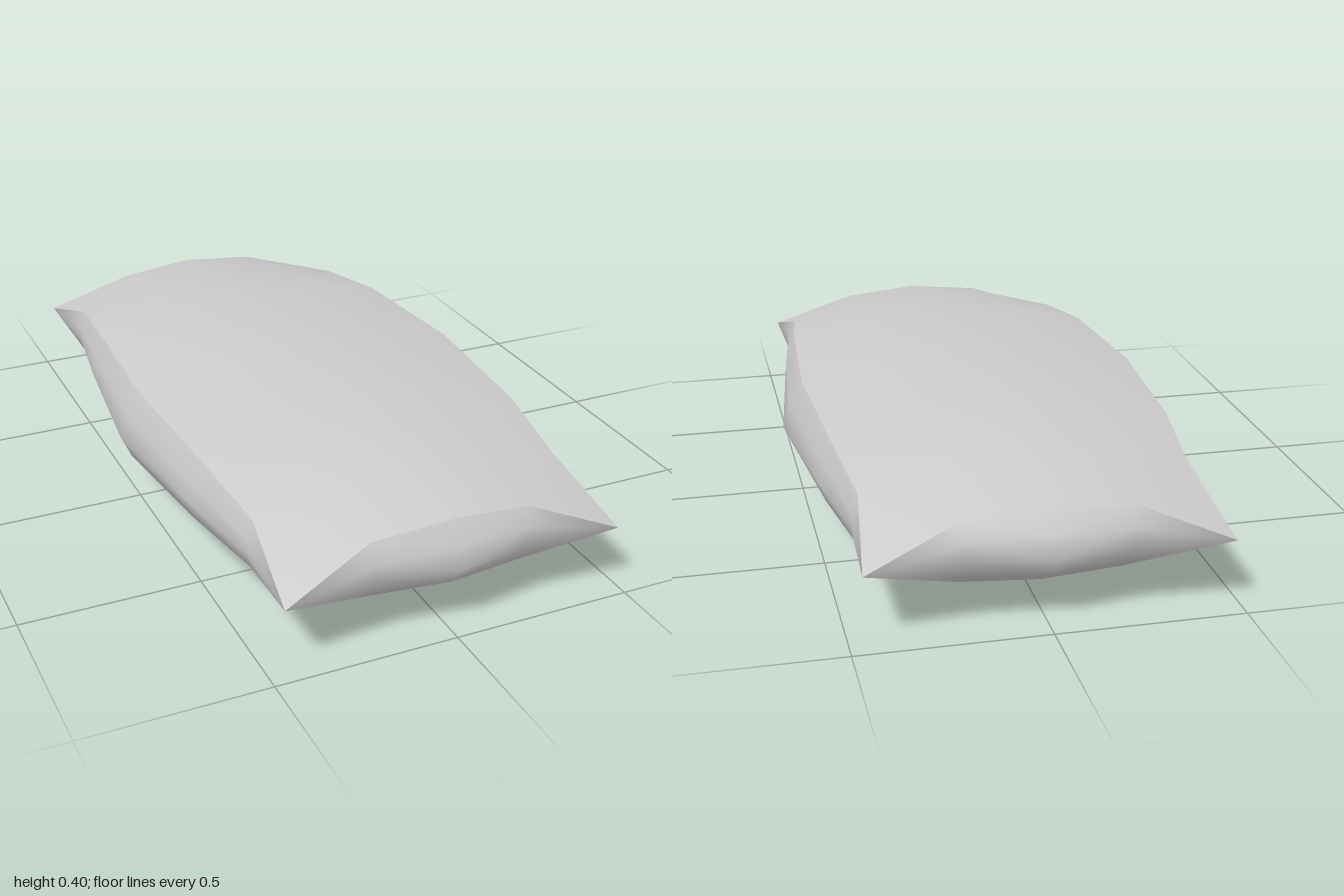
import * as THREE from 'three';
import { mergeVertices } from 'three/addons/utils/BufferGeometryUtils.js';

const material = new THREE.MeshStandardMaterial({ color: 0xcccccc });
const CORNER = [0.467, 0.2, 0.987];

// One quarter of each panel: rows run from the centre seam out to the side, columns from the middle to the end.
const TOP = [
  [[0, 0.395, 0], [0, 0.385, 0.45], [0, 0.35, 0.75], [0, 0.316, 0.945]],
  [[0.27, 0.382, 0], [0.26, 0.367, 0.45], [0.24, 0.338, 0.73], [0.22, 0.297, 0.935]],
  [[0.49, 0.335, 0], [0.465, 0.325, 0.44], [0.435, 0.29, 0.71], CORNER],
];
const BOTTOM = [
  [[0, 0, 0], [0, 0.025, 0.45], [0, 0.045, 0.75], [0, 0.08, 0.86]],
  [[0.27, 0.025, 0], [0.255, 0.04, 0.43], [0.23, 0.065, 0.72], [0.21, 0.1, 0.87]],
  [[0.44, 0.07, 0], [0.41, 0.085, 0.42], [0.38, 0.11, 0.71], CORNER],
];
// Widest line of the edge bands
const SIDE_MID = [[0.55, 0.2, 0], [0.5, 0.2, 0.42], [0.455, 0.2, 0.71], CORNER];
const END_MID = [[0, 0.2, 1], [0.21, 0.2, 0.967], CORNER];

// Line halfway between two edges, pushed outward along one axis
const between = (p, q, axis, bulge) => p.map((a, i) =>
  a.map((v, k) => (v + q[i][k]) / 2 + (k === axis && a !== CORNER ? bulge : 0)));

const band = (upper, mid, lower, axis) => [
  upper, between(upper, mid, axis, 0.01), mid, between(mid, lower, axis, 0.025), lower,
];

// Mirrors a grid of points over the listed sign pairs and joins it into one smooth skin
function skin(name, grid, signs) {
  const positions = [];
  const triangle = (a, b, c, flip) => {
    if (a === b || b === c || a === c) return;
    positions.push(...a, ...(flip ? c : b), ...(flip ? b : c));
  };
  for (const [sx, sz] of signs) {
    const cache = new Map();
    const at = (p) => {
      const key = p.map((v) => v.toFixed(4)).join();
      if (!cache.has(key)) cache.set(key, [p[0] * sx, p[1], p[2] * sz]);
      return cache.get(key);
    };
    for (let r = 0; r < grid.length - 1; r++) {
      for (let c = 0; c < grid[r].length - 1; c++) {
        const a = at(grid[r][c]), b = at(grid[r][c + 1]);
        const d = at(grid[r + 1][c + 1]), e = at(grid[r + 1][c]);
        triangle(a, b, d, sx * sz < 0);
        triangle(a, d, e, sx * sz < 0);
      }
    }
  }
  let geometry = new THREE.BufferGeometry();
  geometry.setAttribute('position', new THREE.Float32BufferAttribute(positions, 3));
  geometry = mergeVertices(geometry, 1e-4);
  geometry.computeVertexNormals();
  const mesh = new THREE.Mesh(geometry, material);
  mesh.name = name;
  return mesh;
}

export function createModel() {
  const pillow = new THREE.Group();
  pillow.name = 'pillow';

  // Upper and lower cushion panels
  const quarters = [[1, 1], [-1, 1], [1, -1], [-1, -1]];
  pillow.add(skin('topPanel', TOP, quarters));
  pillow.add(skin('bottomPanel', [...BOTTOM].reverse(), quarters));

  // Edge bands along the long sides and the short ends
  const side = band(TOP[2], SIDE_MID, BOTTOM[2], 0);
  const lastColumn = (panel) => panel.map((row) => row[3]);
  const end = band(lastColumn(TOP), END_MID, lastColumn(BOTTOM), 2).reverse();
  for (const s of [1, -1]) {
    pillow.add(skin(s > 0 ? 'leftBand' : 'rightBand', side, [[s, 1], [s, -1]]));
    pillow.add(skin(s > 0 ? 'frontBand' : 'backBand', end, [[1, s], [-1, s]]));
  }
  return pillow;
}
